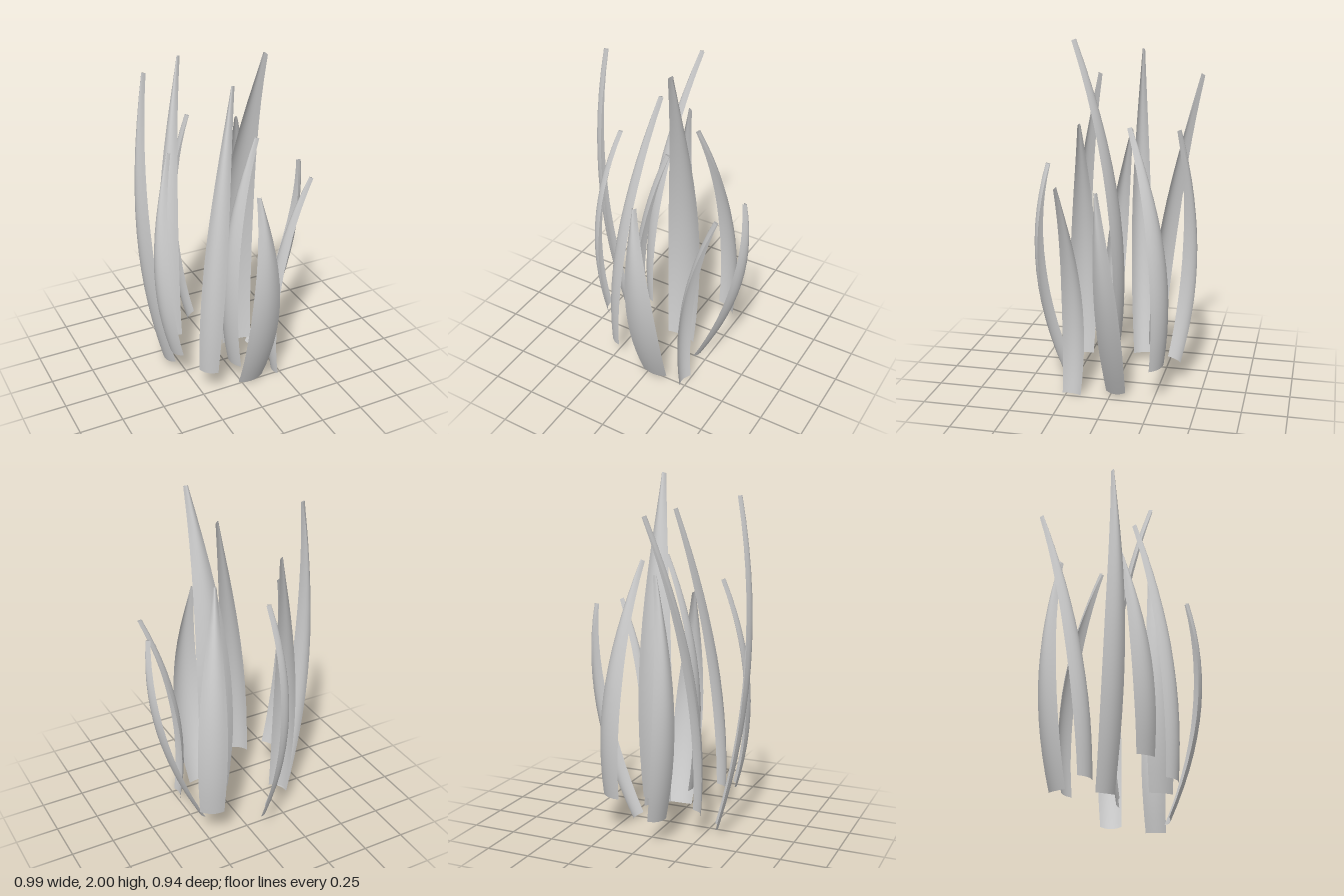
import * as THREE from 'three';

const ROWS = 14;      // steps along a blade
const COLS = 8;       // steps across a blade

// Relative width along the blade: slightly narrow foot, wide belly, long thin tip
const WIDTHS = [0.84, 0.92, 0.98, 1, 0.98, 0.91, 0.8, 0.65, 0.48, 0.3, 0.12];
// Depth of the trough: shallow at the foot, folded at the tip
const DEPTHS = [0.018, 0.028, 0.033, 0.03, 0.024];

function sample(values, t) {
  const f = t * (values.length - 1);
  const i = Math.min(Math.floor(f), values.length - 2);
  return THREE.MathUtils.lerp(values[i], values[i + 1], f - i);
}

// A curved sheet swept along a bezier through base, mid and tip,
// its trough-shaped cross-section bulging towards the horizontal direction (ox, oz)
function bladeGeometry({ base, mid, tip, out: [ox, oz], width }) {
  const a = new THREE.Vector3(...base);
  const c = new THREE.Vector3(...tip);
  const control = new THREE.Vector3(...mid).multiplyScalar(2)
    .addScaledVector(a, -0.5).addScaledVector(c, -0.5);
  const curve = new THREE.QuadraticBezierCurve3(a, control, c);
  const outward = new THREE.Vector3(ox, 0, oz).normalize();
  const side = new THREE.Vector3(outward.z, 0, -outward.x);

  const positions = [], index = [];
  for (let r = 0; r <= ROWS; r++) {
    const t = r / ROWS;
    const centre = curve.getPoint(t);
    const tangent = curve.getTangent(t);
    const normal = outward.clone().addScaledVector(tangent, -outward.dot(tangent)).normalize();
    const half = width * sample(WIDTHS, t) / 2;
    const depth = sample(DEPTHS, t);
    for (let k = 0; k <= COLS; k++) {
      const s = 2 * k / COLS - 1;
      const p = centre.clone()
        .addScaledVector(side, half * s)
        .addScaledVector(normal, depth * (0.5 - s * s));
      positions.push(p.x, p.y, p.z);
      if (r < ROWS && k < COLS) {
        const i = r * (COLS + 1) + k, j = i + COLS + 1;
        index.push(i, i + 1, j, i + 1, j + 1, j);
      }
    }
  }
  const geometry = new THREE.BufferGeometry();
  geometry.setAttribute('position', new THREE.Float32BufferAttribute(positions, 3));
  geometry.setIndex(index);
  geometry.computeVertexNormals();
  return geometry;
}

const BLADES = {
  centreBlade:     { base: [0.085, 0.13, 0.0], mid: [0.09, 1.04, -0.015], tip: [0.13, 2.0, 0.205], out: [0.06, -1], width: 0.215 },
  frontBlade:      { base: [0.05, 0.025, 0.265], mid: [0.055, 0.68, 0.445], tip: [0.015, 1.3, 0.395], out: [0.05, 1], width: 0.185 },
  frontInnerBlade: { base: [-0.045, 0.15, 0.22], mid: [-0.07, 0.85, 0.215], tip: [0.1, 1.54, 0.19], out: [-1, 0.2], width: 0.155 },
  frontLeftBlade:  { base: [-0.225, 0.17, 0.265], mid: [-0.165, 0.96, 0.25], tip: [0.005, 1.81, 0.095], out: [-0.66, 0.75], width: 0.135 },
  outerFrontBlade: { base: [-0.36, 0.25, 0.115], mid: [-0.432, 0.84, 0.088], tip: [-0.32, 1.45, -0.015], out: [-0.9, 0.4], width: 0.125 },
  outerBackBlade:  { base: [-0.325, 0.06, -0.085], mid: [-0.477, 0.98, -0.043], tip: [-0.425, 1.9, -0.06], out: [-0.93, 0.37], width: 0.125 },
  backLeftBlade:   { base: [-0.25, 0.165, -0.18], mid: [-0.232, 0.96, -0.257], tip: [-0.06, 1.81, -0.455], out: [-0.72, 0.7], width: 0.13 },
  backBlade:       { base: [-0.07, 0.145, -0.33], mid: [-0.148, 0.82, -0.405], tip: [-0.065, 1.5, -0.335], out: [-0.75, -0.66], width: 0.135 },
  backRightBlade:  { base: [0.245, 0.22, -0.28], mid: [0.23, 0.88, -0.275], tip: [0.123, 1.54, -0.095], out: [0.45, -0.9], width: 0.165 },
  rightBlade:      { base: [0.195, 0.025, -0.03], mid: [0.435, 0.67, -0.02], tip: [0.468, 1.26, 0.015], out: [1, 0.08], width: 0.135 },
  rightFrontBlade: { base: [0.225, 0.01, 0.215], mid: [0.23, 0.63, 0.205], tip: [0.415, 1.26, 0.24], out: [-1, -0.12], width: 0.13 },
};

export function createModel() {
  const group = new THREE.Group();
  group.name = 'grassTuft';
  const material = new THREE.MeshStandardMaterial({ color: 0xcccccc, side: THREE.DoubleSide });
  for (const [name, spec] of Object.entries(BLADES)) {
    const blade = new THREE.Mesh(bladeGeometry(spec), material);
    blade.name = name;
    group.add(blade);
  }
  return group;
}
